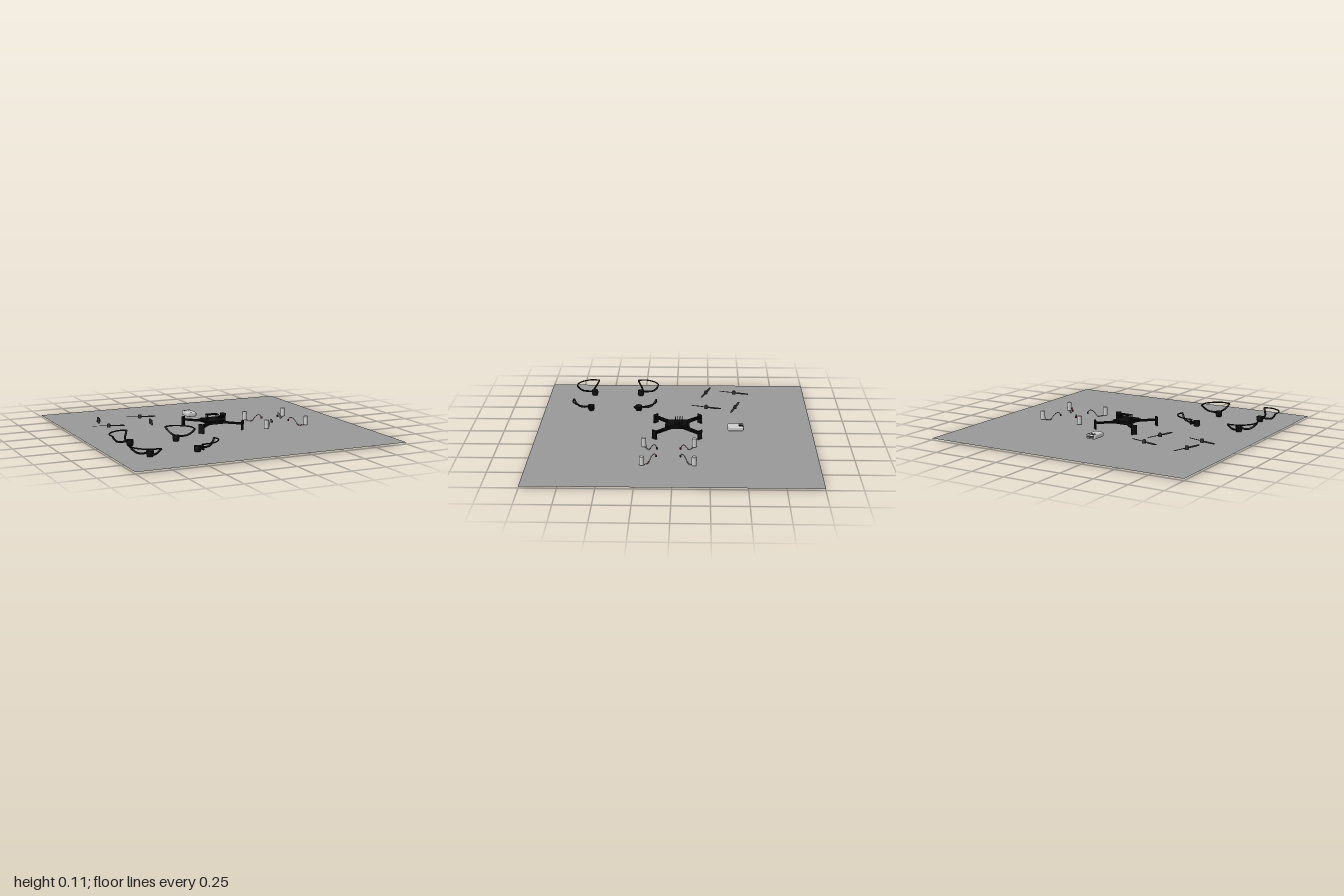
import * as THREE from 'three';
import { RoundedBoxGeometry } from 'three/addons/geometries/RoundedBoxGeometry.js';

const mat = (color) => new THREE.MeshStandardMaterial({ color, side: THREE.DoubleSide });
const V = (x, y, z) => new THREE.Vector3(x, y, z);

export function createModel() {
  const model = new THREE.Group();
  const black = mat(0x0c0c0c), dark = mat(0x333333), red = mat(0x8a1010);
  const grey = mat(0xcccccc), floorGrey = mat(0x999999);

  const add = (parent, name, geometry, material, x = 0, y = 0, z = 0) => {
    const mesh = new THREE.Mesh(geometry, material);
    mesh.name = name;
    mesh.position.set(x, y, z);
    parent.add(mesh);
    return mesh;
  };
  const group = (name, x, y, z) => {
    const g = new THREE.Group();
    g.name = name;
    g.position.set(x, y, z);
    model.add(g);
    return g;
  };
  const box = (w, h, d) => new THREE.BoxGeometry(w, h, d);
  const cyl = (r1, r2, h, n = 24) => new THREE.CylinderGeometry(r1, r2, h, n);
  const tube = (pts, r, n = 32, sides = 8) =>
    new THREE.TubeGeometry(new THREE.CatmullRomCurve3(pts, false, 'centripetal'), n, r, sides);

  // Flat sheet that everything is laid out on
  add(model, 'groundSheet', new THREE.PlaneGeometry(2, 2).rotateX(-Math.PI / 2), floorGrey, 0, 0.012, 0);

  // Drone frame
  const drone = group('droneFrame', 0, 0, -0.02);
  add(drone, 'lowerPlate', box(0.13, 0.008, 0.16), black, 0, 0.055, 0);
  add(drone, 'upperPlate', box(0.13, 0.008, 0.155), black, 0, 0.072, 0);
  add(drone, 'electronicsStack', box(0.085, 0.026, 0.11), black, 0, 0.058, 0);
  for (const s of [-1, 1]) {
    add(drone, 'sideRail', box(0.012, 0.012, 0.18), black, s * 0.068, 0.063, 0);
    add(drone, 'endRail', box(0.14, 0.012, 0.012), black, 0, 0.063, s * 0.083);
  }
  for (let i = 0; i < 4; i++) {
    const z = 0.018 - i * 0.016;
    const hoop = new THREE.Group();
    hoop.name = 'wireHoop';
    for (const s of [-1, 1]) add(hoop, 'hoopPost', cyl(0.002, 0.002, 0.042, 8), black, s * 0.043, 0.02, 0);
    add(hoop, 'hoopBar', box(0.09, 0.004, 0.004), black, 0, 0.04, 0);
    hoop.position.set(0, 0.07, z);
    hoop.rotation.x = -0.1;
    drone.add(hoop);
  }

  // Slotted diagonal arms with a foot panel at each tip
  for (let i = 0; i < 4; i++) {
    const arm = new THREE.Group();
    arm.name = 'arm';
    arm.rotation.y = Math.PI / 4 + i * Math.PI / 2;
    for (const s of [-1, 1]) add(arm, 'armRail', box(0.15, 0.009, 0.014), black, 0.155, 0.058, s * 0.013);
    add(arm, 'armRoot', box(0.07, 0.01, 0.04), black, 0.11, 0.058, 0);
    const foot = new THREE.Shape([[-0.02, 0.013], [0.02, 0.013], [0.021, 0.08], [-0.021, 0.08]]
      .map(([x, y]) => new THREE.Vector2(x, y)));
    const panel = new THREE.ExtrudeGeometry(foot, { depth: 0.009, bevelEnabled: false }).rotateY(Math.PI / 2);
    add(arm, 'footPanel', panel, black, 0.225, 0, 0);
    drone.add(arm);
  }

  // Propeller guards: open clip ring, two rising arms, curved bumper
  const ring = [[0.018, 0], [0.022, 0], [0.02, 0.012], [0.025, 0.03], [0.025, 0.052], [0.021, 0.052], [0.021, 0.03], [0.017, 0.012], [0.018, 0]]
    .map(([x, y]) => new THREE.Vector2(x, y));
  const armPath = [[0.02, 0.042, 0.002], [0.055, 0.04, 0.01], [0.09, 0.046, 0.003], [0.115, 0.065, -0.012], [0.133, 0.09, -0.026]];
  const bumper = [[0.133, 0.09, -0.027], [0.136, 0.092, 0.03], [0.125, 0.092, 0.06], [0.098, 0.092, 0.098],
    [0.06, 0.092, 0.125], [0.03, 0.092, 0.136], [-0.027, 0.09, 0.133]];
  for (const su of [-1, 1]) for (const sv of [-1, 1]) {
    const guard = group('propellerGuard', -0.59 + su * 0.17, 0, 0.465 + sv * 0.182);
    const place = ([u, y, v]) => V(su * u, y, sv * v);
    add(guard, 'clipRing', new THREE.LatheGeometry(ring, 28), black);
    add(guard, 'guardArm', tube(armPath.map(place), 0.007), black);
    add(guard, 'guardArm', tube(armPath.map(([u, y, v]) => place([v, y, u])), 0.007), black);
    add(guard, 'bumper', tube(bumper.map(place), 0.005, 48), black);
  }

  // Two-bladed propellers
  const blade = new THREE.Shape();
  blade.moveTo(0, -0.004);
  blade.bezierCurveTo(0.03, -0.012, 0.08, -0.011, 0.115, -0.006);
  blade.quadraticCurveTo(0.119, 0, 0.115, 0.005);
  blade.bezierCurveTo(0.08, 0.01, 0.03, 0.008, 0, 0.004);
  const bladeGeo = new THREE.ExtrudeGeometry(blade, { depth: 0.003, bevelEnabled: false, curveSegments: 10 })
    .translate(0, 0, -0.0015).rotateX(-Math.PI / 2 + 0.2);
  [[-0.727, -0.45, 1.27], [-0.4, -0.45, -0.29], [-0.727, -0.23, -0.29], [-0.4, -0.23, 1.27]].forEach(([x, z, turn]) => {
    const prop = group('propeller', x, 0.05, z);
    prop.rotation.y = turn;
    add(prop, 'propellerHub', cyl(0.012, 0.014, 0.022), dark);
    add(prop, 'hubCap', new THREE.SphereGeometry(0.012, 20, 8, 0, Math.PI * 2, 0, Math.PI / 2).scale(1, 0.5, 1), dark, 0, 0.011, 0);
    for (const a of [0, Math.PI]) add(prop, 'blade', bladeGeo, dark).rotation.y = a;
  });

  // Battery with contact slots at the back
  const battery = group('battery', 0, 0, -0.443);
  add(battery, 'batteryCase', new RoundedBoxGeometry(0.076, 0.034, 0.116, 4, 0.01), grey, 0, 0.043, 0);
  for (let i = 0; i < 5; i++)
    add(battery, 'contactSlot', box(0.005, 0.012, 0.032), black, -0.026 + i * 0.013, 0.055, -0.039);
  add(battery, 'connectorEdge', box(0.06, 0.015, 0.004), dark, 0, 0.043, -0.057);

  // Motors with twisted lead pairs and plugs
  for (const sx of [-1, 1]) for (const sz of [-1, 1]) {
    const motor = group('motor', 0.487 + sx * 0.163, 0, 0.033 + sz * 0.178);
    add(motor, 'motorCan', cyl(0.017, 0.017, 0.06), grey, 0, 0.052, 0);
    add(motor, 'motorRim', cyl(0.015, 0.015, 0.004), grey, 0, 0.083, 0);
    const tint = sx === sz ? red : dark;
    const path = new THREE.CatmullRomCurve3([[0.008, 0.022], [0.024, 0.014], [0.04, 0.015], [0.055, 0.04], [0.072, 0.063], [0.086, 0.065], [0.094, 0.046]]
      .map(([d, y]) => V(-sx * d, y, -sz * d)));
    for (const phase of [0, Math.PI]) {
      const pts = [];
      for (let i = 0; i <= 40; i++) {
        const a = i * 0.8 + phase;
        pts.push(path.getPoint(i / 40).add(V(sx * Math.cos(a), Math.sin(a), -sz * Math.cos(a)).multiplyScalar(0.002)));
      }
      add(motor, 'leadWire', tube(pts, 0.0017, 80, 6), phase ? tint : grey);
    }
    const plug = add(motor, 'leadPlug', box(0.01, 0.014, 0.01), tint, -sx * 0.095, 0.046, -sz * 0.095);
    plug.rotation.y = Math.PI / 4;
  }
  return model;
}
